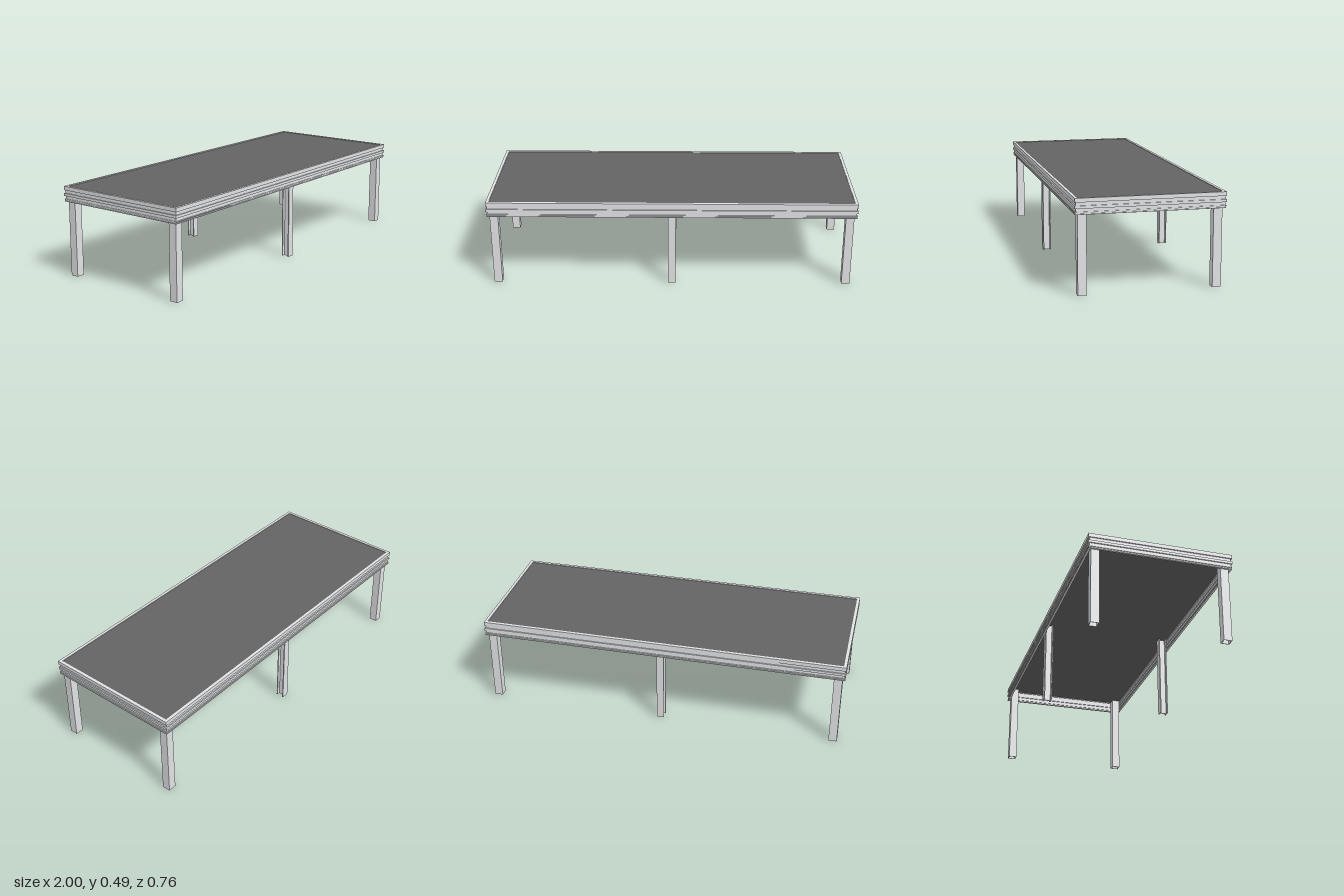
import * as THREE from 'three';

const HALF_X = 1, HALF_Z = 0.3815;  // outer half sizes of the frame
const RAIL = 0.016;                 // thickness of the edge rail
const UNDERSIDE = 0.468;            // underside of the deck panel

// Sweep a closed profile of [inset, y] points around a rectangle with mitred corners.
function mitredFrame(profile) {
  const pos = [];
  const corners = [[1, 1], [1, -1], [-1, -1], [-1, 1]];
  const at = ([sx, sz], [inset, y]) => [sx * (HALF_X - inset), y, sz * (HALF_Z - inset)];
  corners.forEach((c, i) => {
    const d = corners[(i + 1) % 4];
    profile.forEach((p, j) => {
      const q = profile[(j + 1) % profile.length];
      const a = at(c, p), b = at(d, p), e = at(d, q), f = at(c, q);
      pos.push(...a, ...b, ...e, ...a, ...e, ...f);
    });
  });
  const g = new THREE.BufferGeometry();
  g.setAttribute('position', new THREE.Float32BufferAttribute(pos, 3));
  g.computeVertexNormals();
  return g;
}

// Upright extrusion of a section drawn in x and z.
function upright(shape, height) {
  return new THREE.ExtrudeGeometry(shape, { depth: height, bevelEnabled: false }).rotateX(-Math.PI / 2);
}

function rectPoints(w, d) {
  return [[-w, -d], [w, -d], [w, d], [-w, d]].map(([x, y]) => new THREE.Vector2(x, y));
}

export function createModel() {
  const model = new THREE.Group();
  const metal = new THREE.MeshStandardMaterial({ color: 0xe1e2e4 });
  metal.name = 'aluminium';
  const deck = new THREE.MeshStandardMaterial({ color: 0x646464 });
  deck.name = 'dark deck';

  const add = (name, geometry, material, x = 0, y = 0, z = 0) => {
    const mesh = new THREE.Mesh(geometry, material);
    mesh.name = name;
    mesh.position.set(x, y, z);
    model.add(mesh);
  };

  // Grooved edge rail: the same bands and grooves run along the outside and inside
  const outside = [
    [0.002, 0.404], [0.002, 0.409], [0.006, 0.409], [0.006, 0.413],
    [0.002, 0.413], [0.002, 0.418], [0.006, 0.418], [0.006, 0.434],
    [0, 0.434], [0, 0.448], [0.006, 0.448], [0.006, 0.465],
    [0, 0.465], [0, 0.486],
  ];
  const inside = outside.map(([inset, y]) => [RAIL - inset, y]).reverse();
  add('edgeFrame', mitredFrame([...outside, ...inside]), metal);

  // Deck panel, set slightly below the rim
  const top = 0.483;
  add('deckPanel', new THREE.BoxGeometry(2 * (HALF_X - RAIL), top - UNDERSIDE, 2 * (HALF_Z - RAIL)),
    deck, 0, (top + UNDERSIDE) / 2, 0);

  // Hollow square corner legs
  const tube = new THREE.Shape(rectPoints(0.0225, 0.0225));
  tube.holes.push(new THREE.Path(rectPoints(0.0195, 0.0195)));
  const cornerLeg = upright(tube, UNDERSIDE);

  // Middle legs with an H section, open to both sides
  const w = 0.02, d = 0.0225, web = 0.003, inner = 0.0165;
  const hShape = new THREE.Shape([
    [-w, -d], [w, -d], [w, -inner], [web, -inner], [web, inner], [w, inner],
    [w, d], [-w, d], [-w, inner], [-web, inner], [-web, -inner], [-w, -inner],
  ].map(([x, y]) => new THREE.Vector2(x, y)));
  const middleLeg = upright(hShape, UNDERSIDE);

  for (const sz of [-1, 1]) {
    for (const sx of [-1, 1]) add('cornerLeg', cornerLeg, metal, sx * 0.9615, 0, sz * 0.3425);
    add('middleLeg', middleLeg, metal, 0, 0, sz * 0.3425);
  }
  return model;
}
